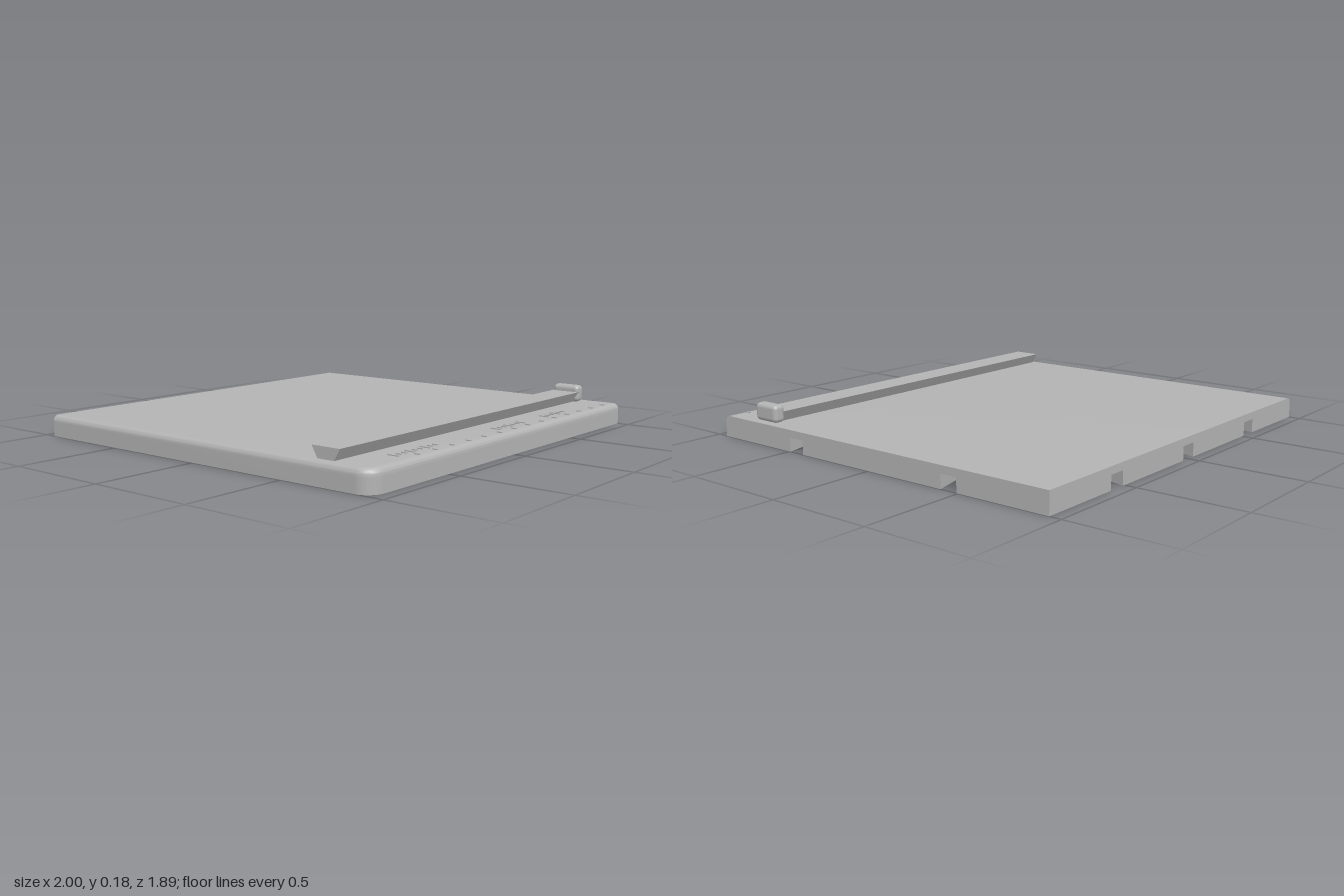
import * as THREE from 'three';
import { toCreasedNormals } from 'three/addons/utils/BufferGeometryUtils.js';
import { RoundedBoxGeometry } from 'three/addons/geometries/RoundedBoxGeometry.js';

const HALF_Z = 0.945, TOP = 0.1, SOCKET_TOP = 0.065, CORNER = 0.08, FILLET = 0.028;

export function createModel() {
  const group = new THREE.Group();
  const grey = new THREE.MeshStandardMaterial({ color: 0xb3b3b3 });
  grey.name = 'plain grey';

  const add = (name, geometry, x = 0, y = 0, z = 0) => {
    const mesh = new THREE.Mesh(geometry, grey);
    mesh.name = name;
    mesh.position.set(x, y, z);
    group.add(mesh);
    return mesh;
  };

  // Lower slab: outline (x, -z) with flared connector sockets on the right and back edges
  const lower = new THREE.Shape();
  const neck = 0.042, flare = 0.085, depth = 0.16;
  lower.moveTo(-1 + CORNER, -HALF_Z);
  lower.lineTo(1, -HALF_Z);
  for (const c of [-0.45, 0.45]) {
    lower.lineTo(1, c - neck);
    lower.lineTo(1 - depth, c - flare);
    lower.lineTo(1 - depth, c + flare);
    lower.lineTo(1, c + neck);
  }
  lower.lineTo(1, HALF_Z);
  for (const c of [0.555, 0, -0.555]) {
    lower.lineTo(c + neck, HALF_Z);
    lower.lineTo(c + flare, HALF_Z - depth);
    lower.lineTo(c - flare, HALF_Z - depth);
    lower.lineTo(c - neck, HALF_Z);
  }
  lower.lineTo(-1, HALF_Z);
  lower.lineTo(-1, -HALF_Z + CORNER);
  lower.absarc(-1 + CORNER, -HALF_Z + CORNER, CORNER, Math.PI, Math.PI * 1.5, false);
  const lowerGeometry = new THREE.ExtrudeGeometry(lower, {
    depth: SOCKET_TOP, bevelEnabled: false, curveSegments: 12,
  });
  lowerGeometry.rotateX(-Math.PI / 2);
  add('lowerSlab', toCreasedNormals(lowerGeometry, 0.6));

  // Upper slab: stacked rings, with the front and left edges rounded over
  const ring = (inset, y) => {
    const points = [[1, HALF_Z - inset], [1, -HALF_Z], [-1 + inset, -HALF_Z]];
    const r = CORNER - inset;
    for (let i = 0; i <= 12; i++) {
      const a = (i / 12) * Math.PI / 2;
      points.push([-1 + CORNER - r * Math.cos(a), HALF_Z - CORNER + r * Math.sin(a)]);
    }
    return points.map(([x, z]) => [x, y, z]);
  };
  const rings = [ring(0, SOCKET_TOP)];
  for (let i = 0; i <= 8; i++) {
    const a = (i / 8) * Math.PI / 2;
    rings.push(ring(FILLET * (1 - Math.cos(a)), TOP - FILLET + FILLET * Math.sin(a)));
  }
  const n = rings[0].length, last = (rings.length - 1) * n;
  const index = [];
  for (let k = 0; k < rings.length - 1; k++) {
    for (let i = 0; i < n; i++) {
      const a = k * n + i, b = k * n + (i + 1) % n;
      index.push(a, b, b + n, a, b + n, a + n);
    }
  }
  for (let i = 1; i < n - 1; i++) {
    index.push(0, i + 1, i);
    index.push(last, last + i, last + i + 1);
  }
  const upper = new THREE.BufferGeometry();
  upper.setAttribute('position', new THREE.Float32BufferAttribute(rings.flat(2), 3));
  upper.setIndex(index);
  add('upperSlab', toCreasedNormals(upper, 0.6));

  // Undercut rail, wider at the top than at the base
  const section = new THREE.Shape();
  section.moveTo(-0.042, 0);
  section.lineTo(0.042, 0);
  section.lineTo(0.07, 0.05);
  section.lineTo(-0.07, 0.05);
  const rail = new THREE.ExtrudeGeometry(section, { depth: 1.9, bevelEnabled: false });
  rail.rotateY(Math.PI / 2);
  add('rail', rail, -0.96, TOP, 0.695);

  // Rounded stop at the end of the rail
  add('railStop', new RoundedBoxGeometry(0.06, 0.082, 0.14, 4, 0.02), 0.94, 0.141, 0.695);

  // Raised scale marks along the front edge
  const mark = (x, z, length) =>
    add('scaleMark', new THREE.BoxGeometry(0.008, 0.007, length), x, TOP + 0.001, z);
  for (let i = 0; i < 14; i++) mark(-0.66 + i * 0.12, 0.905, 0.025);
  for (const [start, count] of [[-0.74, 9], [0, 7], [0.42, 6]]) {
    for (let i = 0; i < count; i++) mark(start + i * 0.035, 0.85, i % 3 ? 0.025 : 0.05);
  }
  return group;
}
